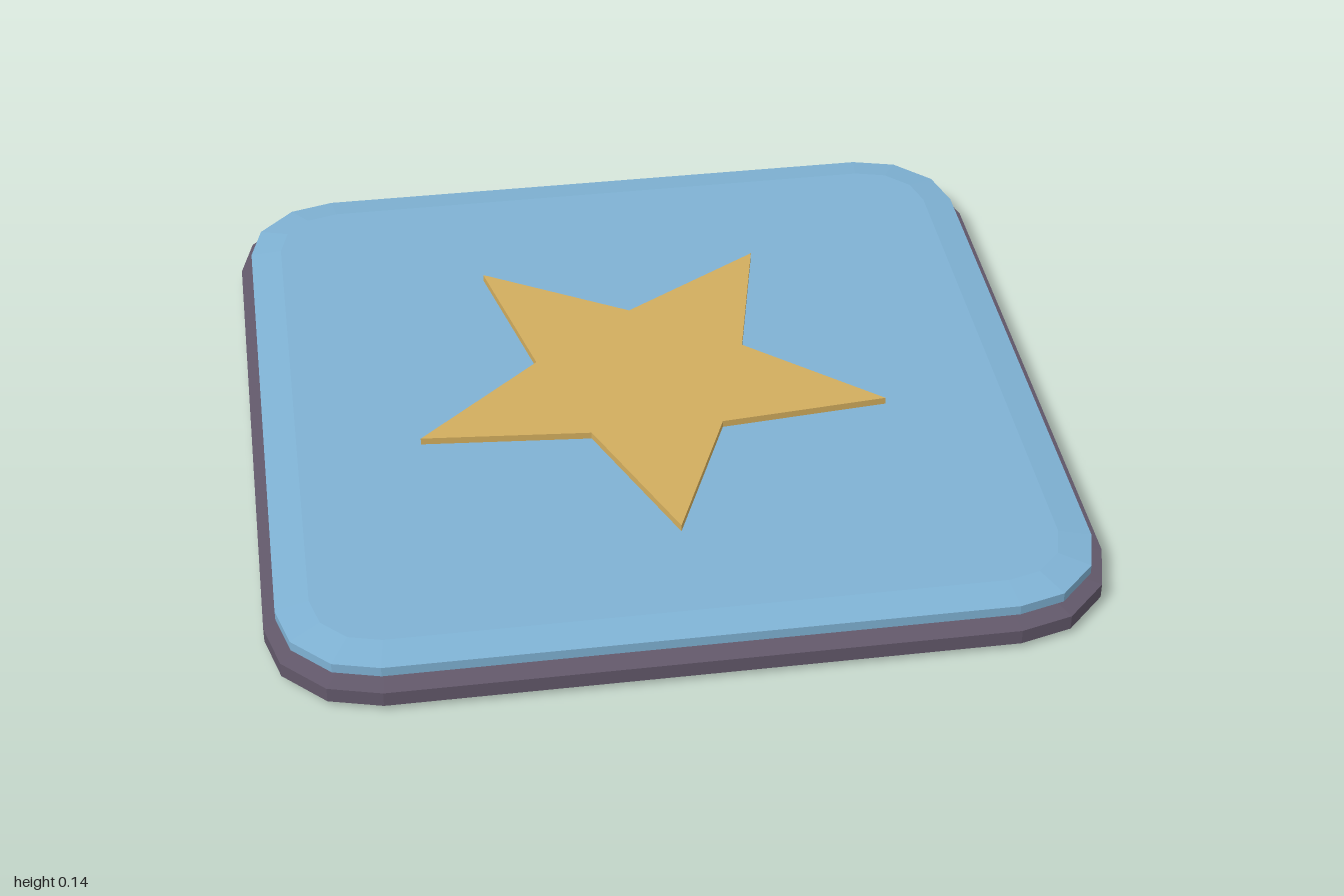
import * as THREE from 'three';

// Square outline with each corner cut into three straight facets
function roundedSquare(half, radius) {
  const pts = [];
  const c = half - radius;
  [[1, 1], [-1, 1], [-1, -1], [1, -1]].forEach(([sx, sy], q) => {
    for (let i = 0; i <= 3; i++) {
      const a = (q + i / 3) * Math.PI / 2;
      pts.push(new THREE.Vector2(sx * c + radius * Math.cos(a), sy * c + radius * Math.sin(a)));
    }
  });
  return new THREE.Shape(pts);
}

// Flat slab lying between y0 and y1, with a shallow wide bevel above and below
function slab(name, material, half, radius, y0, y1, bevelSize, bevelThickness) {
  const geometry = new THREE.ExtrudeGeometry(roundedSquare(half - bevelSize, radius - bevelSize), {
    depth: y1 - y0 - 2 * bevelThickness,
    bevelEnabled: true, bevelSegments: 1, bevelSize, bevelThickness,
  });
  geometry.rotateX(-Math.PI / 2).translate(0, y0 + bevelThickness, 0);
  const mesh = new THREE.Mesh(geometry, material);
  mesh.name = name;
  return mesh;
}

export function createModel() {
  const flat = (name, color) => new THREE.MeshStandardMaterial({ name, color, flatShading: true });
  const plum = flat('dark plum', 0x62586a);
  const blue = flat('sky blue', 0x7fb2d4);
  const gold = flat('gold', 0xd2ad5e);

  const model = new THREE.Group();
  model.name = 'starTile';

  // Dark base and the blue plate on it
  model.add(slab('base', plum, 1, 0.27, 0, 0.066, 0.08, 0.014));
  model.add(slab('plate', blue, 0.97, 0.24, 0.064, 0.115, 0.08, 0.013));

  // Five-pointed star hovering just above the plate, one tip to the front
  const points = [];
  for (let i = 0; i < 10; i++) {
    const r = i % 2 ? 0.28 : 0.615;
    const a = -Math.PI / 2 + i * Math.PI / 5;
    points.push(new THREE.Vector2(r * Math.cos(a), r * Math.sin(a)));
  }
  const starGeometry = new THREE.ExtrudeGeometry(new THREE.Shape(points), { depth: 0.018, bevelEnabled: false });
  starGeometry.rotateX(-Math.PI / 2).translate(0, 0.124, 0);
  const star = new THREE.Mesh(starGeometry, gold);
  star.name = 'star';
  model.add(star);

  return model;
}
